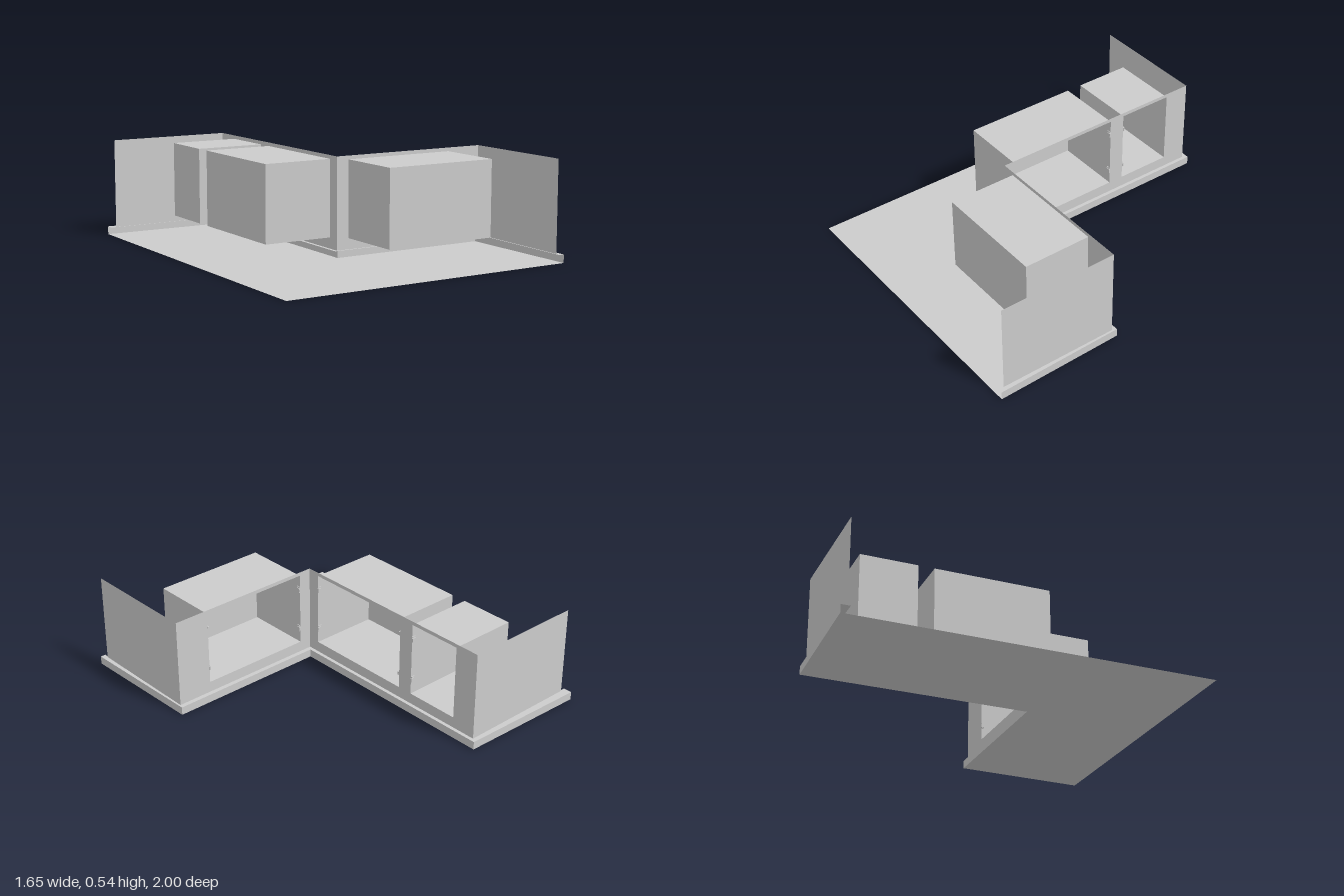
import * as THREE from 'three';

const material = new THREE.MeshStandardMaterial({ color: 0xcccccc, side: THREE.DoubleSide });
const BASE = 0.045, TOP = 0.54;      // plinth top, wall top
const LOW = 0.105, HIGH = 0.52;      // niche bottom and top
const WALL_X = -0.113, WALL_Z = 0.3; // planes of the two front panels

function add(group, name, geometry) {
  const mesh = new THREE.Mesh(geometry, material);
  mesh.name = name;
  group.add(mesh);
  return mesh;
}

// Flat outline of [x, z] points laid at height y
function flat(points, y) {
  const shape = new THREE.Shape(points.map(([x, z]) => new THREE.Vector2(x, -z)));
  return new THREE.ShapeGeometry(shape).rotateX(-Math.PI / 2).translate(0, y, 0);
}

// Thin upright panel from a to b, with openings given as [start, end]
function panel(a, b, openings = []) {
  const shape = new THREE.Shape([[a, BASE], [b, BASE], [b, TOP], [a, TOP]].map(p => new THREE.Vector2(...p)));
  for (const [s, e] of openings) {
    shape.holes.push(new THREE.Path([[s, LOW], [s, HIGH], [e, HIGH], [e, LOW]].map(p => new THREE.Vector2(...p))));
  }
  return new THREE.ShapeGeometry(shape);
}
const alongX = (g, z) => g.translate(0, 0, z);
const alongZ = (g, x) => g.rotateY(-Math.PI / 2).translate(x, 0, 0);

// Upright strip below a polyline of [x, z] points
function strip(points) {
  const pos = [];
  for (let i = 0; i < points.length - 1; i++) {
    const [x0, z0] = points[i], [x1, z1] = points[i + 1];
    pos.push(x0, 0, z0, x0, BASE, z0, x1, BASE, z1, x0, 0, z0, x1, BASE, z1, x1, 0, z1);
  }
  const g = new THREE.BufferGeometry();
  g.setAttribute('position', new THREE.Float32BufferAttribute(pos, 3));
  g.computeVertexNormals();
  return g;
}

// Box with one side left out (0 = +x, 5 = -z)
function openBox(x0, x1, z0, z1, openSide) {
  const g = new THREE.BoxGeometry(x1 - x0, HIGH - LOW, z1 - z0);
  const index = Array.from(g.index.array);
  index.splice(openSide * 6, 6);
  g.setIndex(index);
  g.clearGroups();
  return g.translate((x0 + x1) / 2, (LOW + HIGH) / 2, (z0 + z1) / 2);
}

export function createModel() {
  const model = new THREE.Group();
  model.name = 'cornerCabinet';

  // Plinth: floor, rim and the narrow ledge under the panels
  const outer = [[-0.83, -1], [-0.093, -0.98], [-0.093, 0.275], [0.81, 0.275], [0.825, 1]];
  const inner = [[-0.83, -0.95], [-0.13, -0.95], [-0.13, 0.31], [0.795, 0.31], [0.795, 1]];
  add(model, 'floor', flat([...outer, [-0.83, 1]], 0));
  add(model, 'plinthRim', strip(outer));
  add(model, 'plinthLedge', flat([...outer, ...inner.slice().reverse()], BASE));

  // Panels
  const wide = [-0.042, 0.598], middle = [-0.412, 0.232], small = [-0.812, -0.5];
  add(model, 'shortFrontPanel', alongX(panel(WALL_X, 0.8, [wide]), WALL_Z));
  add(model, 'longFrontPanel', alongZ(panel(-0.955, WALL_Z, [middle, small]), WALL_X));
  add(model, 'shortEndPanel', alongZ(panel(WALL_Z, 0.97), 0.8));
  add(model, 'longEndPanel', alongX(panel(-0.8, WALL_X), -0.955));

  // Niches set behind the openings
  add(model, 'shortSideNiche', openBox(...wide, WALL_Z, 0.68, 5));
  add(model, 'middleNiche', openBox(-0.5, WALL_X, ...middle, 0));
  add(model, 'smallNiche', openBox(-0.5, WALL_X, ...small, 0));

  // Hinges, two at each hinged edge: a mounting plate and a short knuckle
  const hinges = [
    [wide[0], WALL_Z, 0, 1], [wide[1], WALL_Z, 0, -1],
    [WALL_X, middle[0], 1, 1], [WALL_X, middle[1], 1, -1], [WALL_X, small[1], 1, -1],
  ];
  for (const [x, z, onLong, dir] of hinges) {
    for (const y of [0.19, 0.432]) {
      const hinge = new THREE.Group();
      hinge.name = 'hinge';
      const plate = add(hinge, 'hingePlate', new THREE.BoxGeometry(0.004, 0.036, 0.02));
      plate.position.set(dir * 0.002, 0, 0.012);
      const knuckle = add(hinge, 'hingeKnuckle', new THREE.BoxGeometry(0.008, 0.02, 0.022));
      knuckle.position.set(dir * 0.004, 0, 0.008);
      // Local +z points into the niche
      if (onLong) {
        hinge.rotation.y = -Math.PI / 2;
        hinge.position.set(x, y, z);
      } else {
        hinge.position.set(x, y, z);
      }
      model.add(hinge);
    }
  }
  return model;
}
